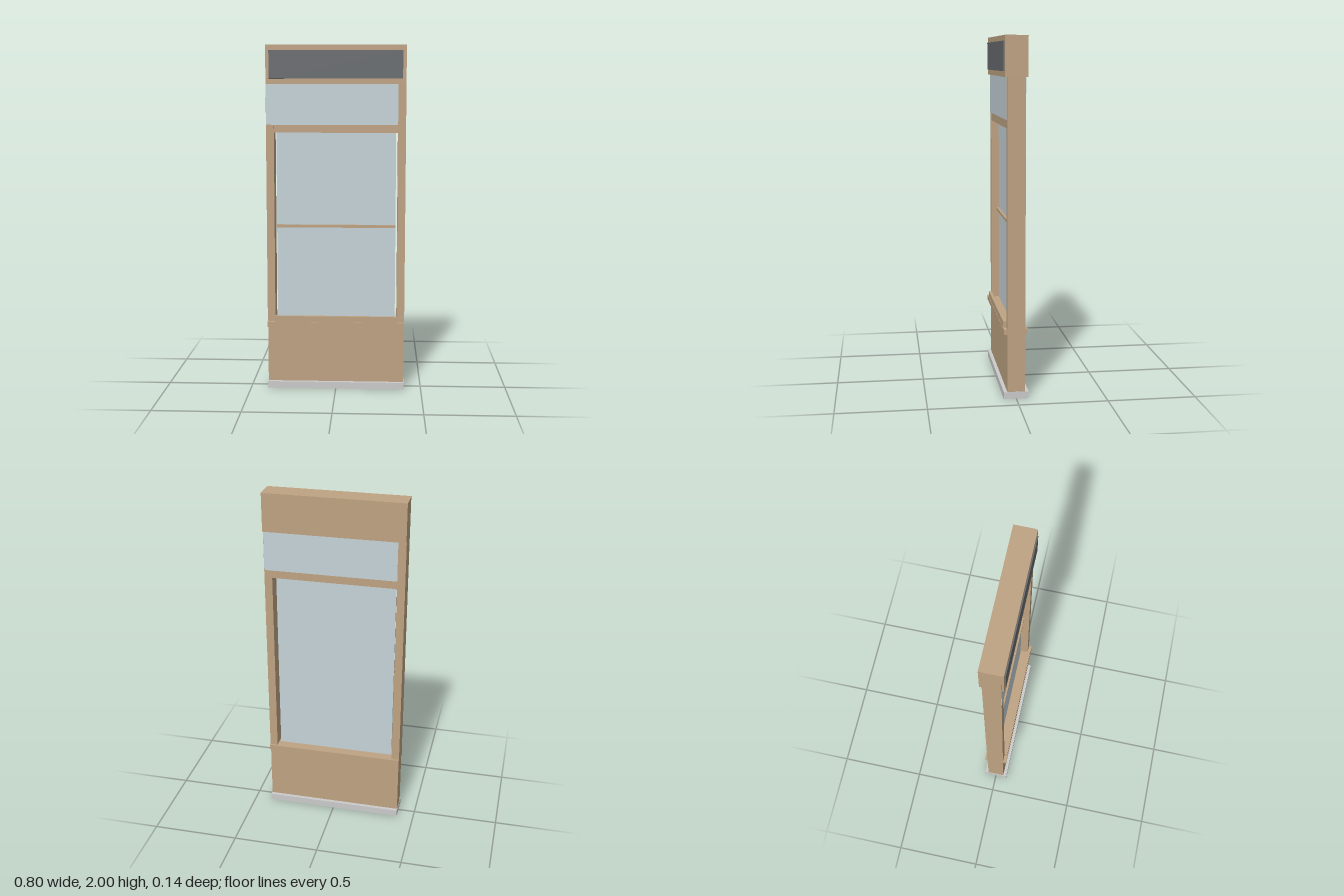
import * as THREE from 'three';

const paint = (color) => new THREE.MeshStandardMaterial({ color });

export function createModel() {
  const model = new THREE.Group();
  const wood = paint(0xbfa383);
  const glass = paint(0xc6d3d9);
  const dark = paint(0x686b6f);
  const stone = paint(0xcccccc);

  // Box given by its extents along each axis
  const box = (name, material, [x0, x1], [y0, y1], [z0, z1]) => {
    const mesh = new THREE.Mesh(new THREE.BoxGeometry(x1 - x0, y1 - y0, z1 - z0), material);
    mesh.position.set((x0 + x1) / 2, (y0 + y1) / 2, (z0 + z1) / 2);
    mesh.name = name;
    model.add(mesh);
  };

  // Base: plinth, panel below the window and projecting sill
  box('plinth', stone, [-0.4, 0.4], [0, 0.04], [-0.07, 0.07]);
  box('basePanel', wood, [-0.398, 0.398], [0.04, 0.37], [-0.05, 0.05]);
  box('sill', wood, [-0.4, 0.4], [0.37, 0.4], [-0.063, 0.07]);
  box('sillLip', wood, [-0.355, 0.355], [0.4, 0.435], [0.05, 0.068]);

  // Side posts and the rail above the main window
  box('leftPost', wood, [0.355, 0.4], [0.4, 1.78], [-0.05, 0.05]);
  box('rightPost', wood, [-0.4, -0.355], [0.4, 1.78], [-0.05, 0.05]);
  box('windowRail', wood, [-0.356, 0.356], [1.505, 1.553], [-0.049, 0.049]);

  // Main window, set midway in the opening with a narrow gap at the posts
  box('windowPane', glass, [-0.345, 0.345], [0.4, 1.503], [-0.005, 0.005]);
  box('meetingRail', wood, [-0.345, 0.345], [0.953, 0.969], [0.005, 0.02]);

  // Transom glazing, lapping over one post on each face
  box('transomFrontPane', glass, [-0.399, 0.355], [1.55, 1.78], [0, 0.0508]);
  box('transomBackPane', glass, [-0.355, 0.399], [1.55, 1.78], [-0.0508, 0]);

  // Header with front fascia and dark sign board
  box('header', wood, [-0.4, 0.4], [1.78, 2], [-0.063, 0.052]);
  box('fascia', wood, [-0.398, 0.398], [1.78, 2], [0.052, 0.064]);
  box('signBoard', dark, [-0.38, 0.38], [1.81, 1.97], [0.06, 0.07]);

  return model;
}
